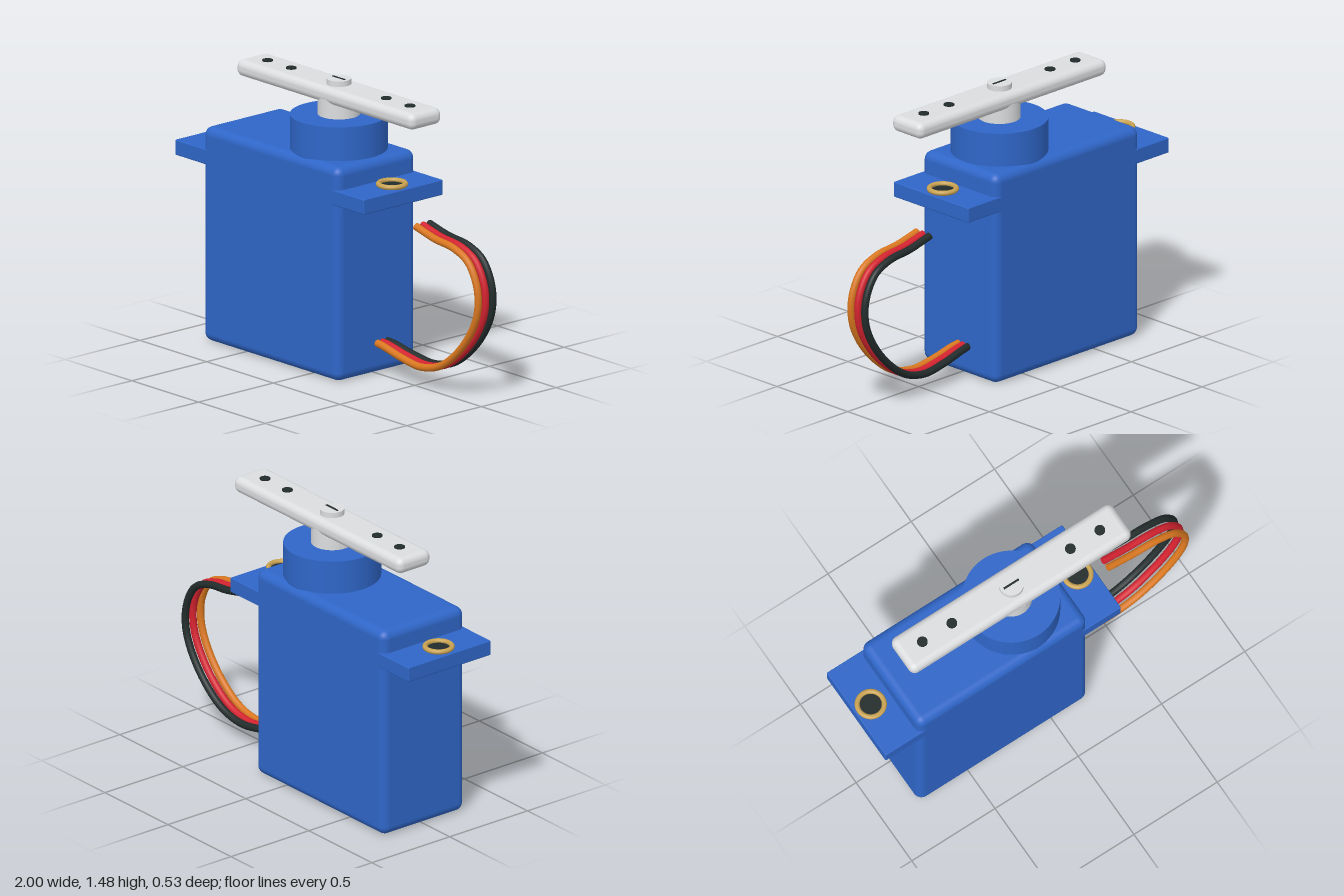
import * as THREE from 'three';
import { RoundedBoxGeometry } from 'three/addons/geometries/RoundedBoxGeometry.js';

const paint = (name, color) => {
  const m = new THREE.MeshStandardMaterial({ color });
  m.name = name;
  return m;
};

export function createModel() {
  const blue = paint('blue plastic', 0x2f66c8);
  const white = paint('white plastic', 0xdcdddf);
  const brass = paint('brass', 0xc9a352);
  const dark = paint('black', 0x222b2b);
  const red = paint('red', 0xd3222f);
  const orange = paint('orange', 0xd9771f);

  const model = new THREE.Group();
  model.name = 'servoMotor';
  const add = (name, geometry, material, x, y, z = 0) => {
    const mesh = new THREE.Mesh(geometry, material);
    mesh.name = name;
    mesh.position.set(x, y, z);
    model.add(mesh);
    return mesh;
  };
  const disc = (r, h, n = 32) => new THREE.CylinderGeometry(r, r, h, n);

  // Case and mounting plate
  add('case', new RoundedBoxGeometry(1.02, 1.115, 0.53, 4, 0.045), blue, -0.29, 0.5575);
  add('mountingPlate', new RoundedBoxGeometry(1.415, 0.08, 0.53, 2, 0.006), blue, -0.2925, 0.96);

  // Brass eyelets around dark screw holes
  for (const x of [-0.912, 0.33]) {
    const ring = add('eyelet', new THREE.TorusGeometry(0.068, 0.013, 12, 40), brass, x, 1.012);
    ring.rotation.x = Math.PI / 2;
    add('mountingHole', disc(0.06, 0.008), dark, x, 1.003);
  }

  // Gear housing and output shaft
  const axis = -0.068;
  add('gearHousing', disc(0.245, 0.2, 64), blue, axis, 1.19);
  add('outputShaft', disc(0.106, 0.1, 40), white, axis, 1.335);

  // Control arm with its holes and centre screw
  add('controlArm', new RoundedBoxGeometry(1.326, 0.085, 0.212, 4, 0.036), white, axis, 1.4035);
  for (const x of [-0.602, -0.425, 0.287, 0.464]) {
    add('armHole', disc(0.027, 0.009, 24), dark, x, 1.4475);
  }
  add('screwHead', disc(0.062, 0.035), white, axis, 1.457);
  add('screwSlot', new THREE.BoxGeometry(0.09, 0.006, 0.01), dark, axis, 1.4745);

  // Three-wire cable curling out of the case
  const path = [
    [0.18, 0.16], [0.26, 0.152], [0.4, 0.122], [0.55, 0.106], [0.7, 0.148], [0.87, 0.293],
    [0.965, 0.46], [0.97, 0.6], [0.905, 0.725], [0.8, 0.777], [0.65, 0.797], [0.51, 0.83],
  ];
  const wire = (name, material, zStart, zMiddle, zEnd) => {
    const last = path.length - 1;
    const points = path.map(([x, y], i) => {
      const t = i / last;
      const z = t < 0.5
        ? THREE.MathUtils.lerp(zStart, zMiddle, Math.sin(t * Math.PI))
        : THREE.MathUtils.lerp(zMiddle, zEnd, t * 2 - 1);
      return new THREE.Vector3(x, y, z);
    });
    const curve = new THREE.CatmullRomCurve3(points);
    add(name, new THREE.TubeGeometry(curve, 80, 0.019, 12), material, 0, 0);
    const tip = add(name + 'End', new THREE.CircleGeometry(0.019, 12), material, ...points[last].toArray());
    tip.lookAt(points[last].clone().add(curve.getTangent(1)));
  };
  wire('orangeWire', orange, 0, 0, 0);
  wire('redWire', red, -0.03, -0.05, -0.043);
  wire('blackWire', dark, -0.06, -0.1, -0.087);

  return model;
}
